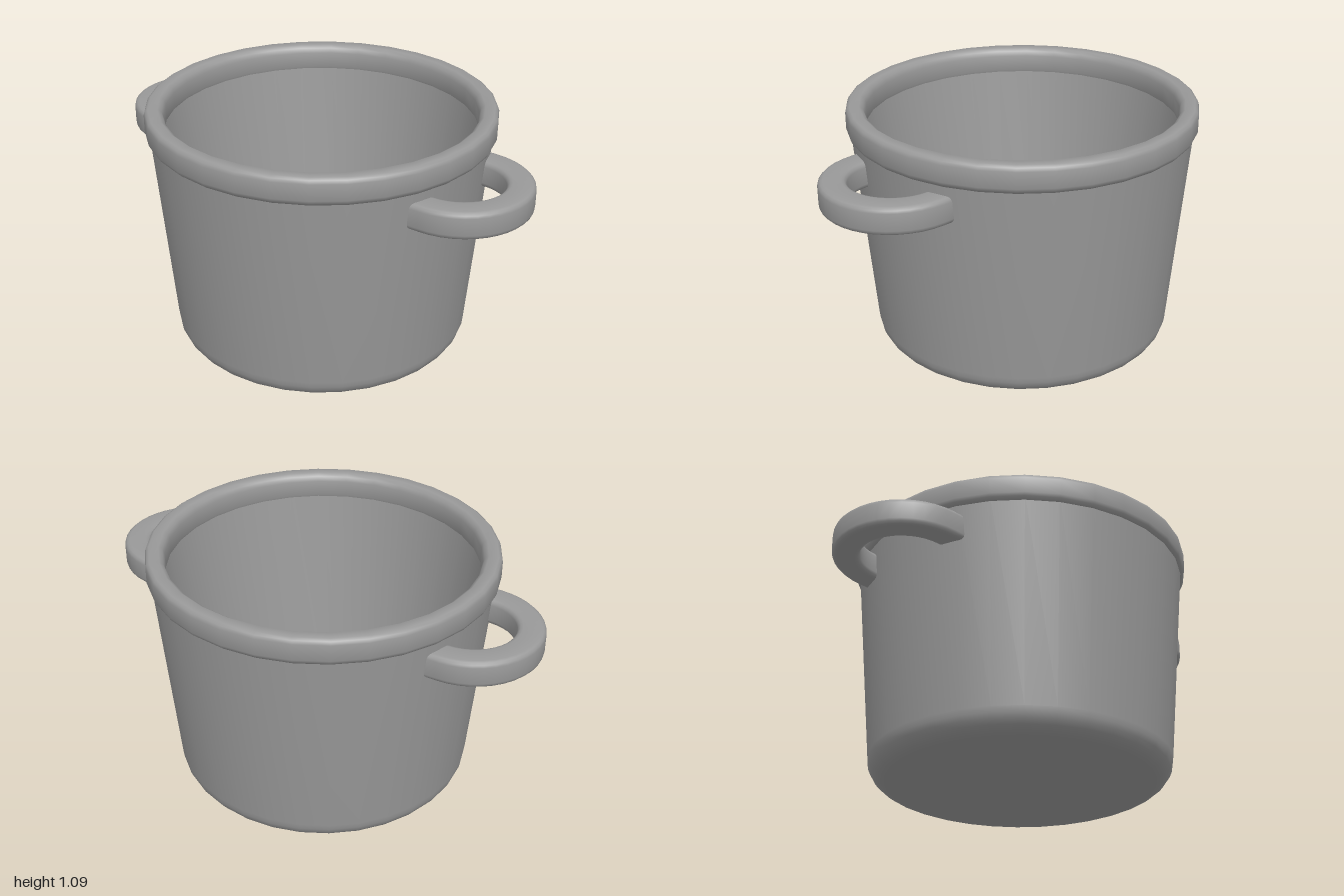
import * as THREE from 'three';
import { toCreasedNormals } from 'three/addons/utils/BufferGeometryUtils.js';

const SEGMENTS = 32;
const material = new THREE.MeshStandardMaterial({ color: 0x999999 });

function addMesh(parent, name, geometry, crease = 0.7) {
  const mesh = new THREE.Mesh(toCreasedNormals(geometry, crease), material);
  mesh.name = name;
  parent.add(mesh);
  return mesh;
}

const lathe = (points) =>
  new THREE.LatheGeometry(points.map(([r, y]) => new THREE.Vector2(r, y)), SEGMENTS);

// Points of a rounded rectangle, counter-clockwise
function roundedRect(width, height, radius, steps = 3) {
  const points = [];
  for (let corner = 0; corner < 4; corner++) {
    const cx = (corner === 0 || corner === 3 ? 1 : -1) * (width / 2 - radius);
    const cy = (corner < 2 ? 1 : -1) * (height / 2 - radius);
    for (let i = 0; i <= steps; i++) {
      const a = (corner + i / steps) * Math.PI / 2;
      points.push([cx + radius * Math.cos(a), cy + radius * Math.sin(a)]);
    }
  }
  return points;
}

// Rounded bar swept around a half ring with short straight ends
function handleGeometry() {
  const section = roundedRect(0.116, 0.117, 0.022);
  const ringX = 0.695, ringRadius = 0.247, endX = 0.648, y = 0.869, steps = 20;
  const path = [{ x: endX, angle: -Math.PI / 2 }];
  for (let i = 0; i <= steps; i++) path.push({ x: ringX, angle: (i / steps - 0.5) * Math.PI });
  path.push({ x: endX, angle: Math.PI / 2 });

  const positions = [], index = [], n = section.length;
  const place = ({ x, angle }, u, v) => positions.push(
    x + (ringRadius + u) * Math.cos(angle), y + v, (ringRadius + u) * Math.sin(angle));
  for (const p of path) for (const [u, v] of section) place(p, u, v);
  for (let i = 0; i < path.length - 1; i++) {
    for (let j = 0; j < n; j++) {
      const a = i * n + j, b = i * n + (j + 1) % n;
      index.push(a, b, a + n, b, b + n, a + n);
    }
  }
  // End caps
  const first = positions.length / 3, last = first + 1, base = (path.length - 1) * n;
  place(path[0], 0, 0);
  place(path[path.length - 1], 0, 0);
  for (let j = 0; j < n; j++) {
    const k = (j + 1) % n;
    index.push(first, k, j, last, base + j, base + k);
  }
  const geometry = new THREE.BufferGeometry();
  geometry.setAttribute('position', new THREE.Float32BufferAttribute(positions, 3));
  geometry.setIndex(index);
  return geometry;
}

export function createModel() {
  const pot = new THREE.Group();
  pot.name = 'pot';

  // Tapered wall with rounded foot, open inside down to a thick floor
  const foot = [];
  for (let i = 0; i <= 6; i++) {
    const a = (i / 6) * Math.PI / 2;
    foot.push([0.56 + 0.094 * Math.sin(a), 0.094 - 0.094 * Math.cos(a)]);
  }
  addMesh(pot, 'body', lathe([
    [0, 0], ...foot, [0.734, 1.0], [0.676, 1.0], [0.553, 0.1], [0, 0.1],
  ]));

  // Thick rounded rim, chamfered below into the wall
  addMesh(pot, 'rim', lathe([
    [0.676, 0.966], [0.731, 0.966], [0.744, 0.978], [0.75, 0.992], [0.75, 1.062],
    [0.745, 1.077], [0.733, 1.085], [0.692, 1.085], [0.676, 1.073], [0.668, 1.052],
    [0.668, 0.985], [0.676, 0.966],
  ]), 0.9);

  // Two side handles
  addMesh(pot, 'leftHandle', handleGeometry());
  addMesh(pot, 'rightHandle', handleGeometry()).rotation.y = Math.PI;

  return pot;
}
